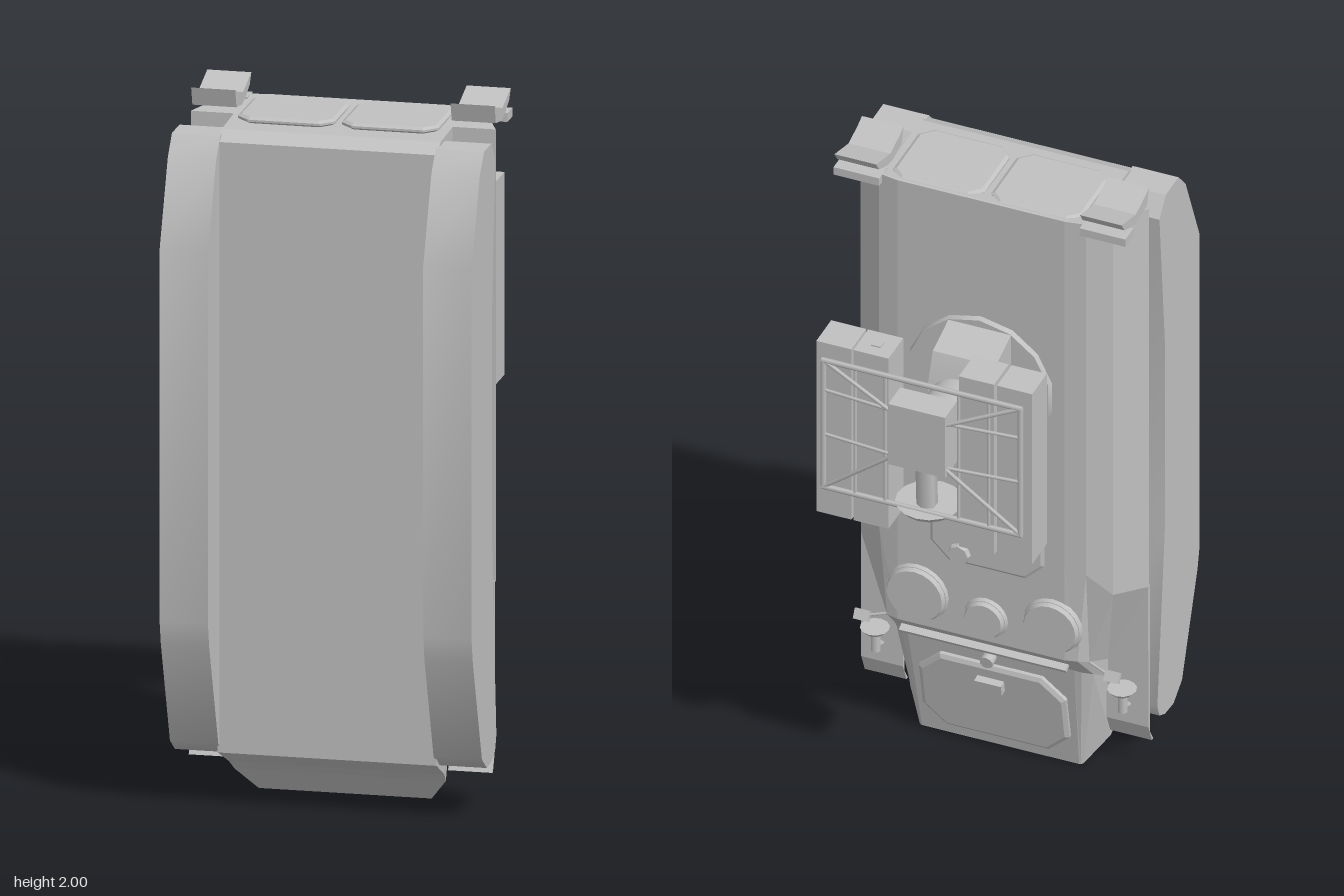
import * as THREE from 'three';
import { toCreasedNormals } from 'three/addons/utils/BufferGeometryUtils.js';

export function createModel() {
  const root = new THREE.Group();
  const paint = new THREE.MeshStandardMaterial({ color: 0xc0c0c0, side: THREE.DoubleSide });
  paint.name = 'plain grey';

  const add = (name, geo, x = 0, y = 0, z = 0, parent = root) => {
    const m = new THREE.Mesh(geo, paint);
    m.name = name;
    m.position.set(x, y, z);
    parent.add(m);
    return m;
  };
  // Box given by its limits
  const box = (name, x0, x1, y0, y1, z0, z1) =>
    add(name, new THREE.BoxGeometry(x1 - x0, y1 - y0, z1 - z0), (x0 + x1) / 2, (y0 + y1) / 2, (z0 + z1) / 2);
  const shapeOf = pts => new THREE.Shape(pts.map(p => new THREE.Vector2(p[0], p[1])));
  // Side profile of [z, y] points, extruded across x between x0 and x1
  const sideProfile = (name, pts, x0, x1, crease = 0.3) => {
    const g = new THREE.ExtrudeGeometry(shapeOf(pts), { depth: x1 - x0, bevelEnabled: false });
    g.translate(0, 0, -(x1 - x0) / 2).rotateY(-Math.PI / 2);
    return add(name, toCreasedNormals(g, crease), (x0 + x1) / 2, 0, 0);
  };
  // Rectangle with cut corners, bevelled towards local +z
  const cutPanel = (w, h, c, depth, bevel) => {
    const a = w / 2 - bevel, b = h / 2 - bevel;
    return new THREE.ExtrudeGeometry(
      shapeOf([[-a + c, -b], [a - c, -b], [a, -b + c], [a, b - c], [a - c, b], [-a + c, b], [-a, b - c], [-a, -b + c]]),
      { depth, bevelEnabled: true, bevelSize: bevel, bevelThickness: bevel * 0.6, bevelSegments: 1 });
  };
  // Disc whose axis runs along z
  const disc = (name, r0, r1, depth, sides, x, y, z) =>
    add(name, toCreasedNormals(new THREE.CylinderGeometry(r0, r1, depth, sides).rotateX(-Math.PI / 2), 0.6), x, y, z);
  const rod = (name, a, b, r) => {
    const p = new THREE.Vector3(...a), q = new THREE.Vector3(...b);
    const m = add(name, new THREE.CylinderGeometry(r, r, p.distanceTo(q), 6));
    m.position.copy(p).add(q).multiplyScalar(0.5);
    m.quaternion.setFromUnitVectors(new THREE.Vector3(0, 1, 0), q.sub(p).normalize());
  };

  // Hull: half cross-sections from deck edge, over the sponson, to the belly; rear to nose
  const stations = [
    [[0.25, 1.945, -0.018], [0.31, 1.945, -0.008], [0.377, 1.94, 0.025], [0.432, 1.93, 0.15], [0.31, 1.93, 0.15], [0.31, 1.925, 0.295]],
    [[0.25, 1.9, -0.018], [0.31, 1.9, -0.008], [0.377, 1.9, 0.025], [0.432, 1.9, 0.15], [0.31, 1.9, 0.15], [0.31, 1.9, 0.345]],
    [[0.25, 0.78, -0.018], [0.31, 0.75, -0.008], [0.377, 0.68, 0.025], [0.432, 0.64, 0.15], [0.31, 0.62, 0.15], [0.31, 0.6, 0.345]],
    [[0.25, 0.45, -0.018], [0.285, 0.45, -0.01], [0.3, 0.42, 0.04], [0.31, 0.36, 0.15], [0.308, 0.36, 0.16], [0.31, 0.36, 0.345]],
    [[0.25, 0.37, 0.05], [0.27, 0.365, 0.055], [0.295, 0.35, 0.08], [0.31, 0.3, 0.15], [0.308, 0.3, 0.16], [0.31, 0.3, 0.345]],
    [[0.235, 0, 0.12], [0.24, 0, 0.122], [0.245, 0, 0.127], [0.3, 0.07, 0.19], [0.305, 0.1, 0.23], [0.31, 0.155, 0.345]],
  ];
  const rings = stations.map(s => [...s, ...s.slice().reverse().map(([x, y, z]) => [-x, y, z])]);
  const pos = [];
  const quad = (a, b, c, d) => pos.push(...a, ...b, ...c, ...b, ...d, ...c);
  const n = rings[0].length;
  for (let s = 0; s < rings.length - 1; s++)
    for (let i = 0; i < n; i++) {
      const j = (i + 1) % n;
      quad(rings[s][i], rings[s][j], rings[s + 1][i], rings[s + 1][j]);
    }
  const rear = rings[0], nose = rings[rings.length - 1];
  for (let i = 0; i < n / 2 - 1; i++) {
    quad(rear[i], rear[n - 1 - i], rear[i + 1], rear[n - 2 - i]);
    quad(nose[i], nose[i + 1], nose[n - 1 - i], nose[n - 2 - i]);
  }
  const hull = new THREE.BufferGeometry();
  hull.setAttribute('position', new THREE.Float32BufferAttribute(pos, 3));
  hull.computeVertexNormals();
  add('hull', hull);

  // Tracks, fender flaps and rear brackets on both sides
  const trackOutline = [[0.335, 1.915], [0.245, 1.915], [0.2, 1.86], [0.24, 1.4], [0.24, 0.8], [0.185, 0.21], [0.2, 0.17],
    [0.24, 0.15], [0.3, 0.145], [0.36, 0.185], [0.47, 0.49], [0.485, 0.56], [0.485, 1.62], [0.385, 1.86]];
  const hook = [[0.155, 1.998], [0.125, 1.985], [0.06, 1.968], [-0.04, 1.998], [-0.02, 1.968], [0.03, 1.945], [0.07, 1.935], [0.14, 1.945]];
  for (const s of [1, -1]) {
    const span = (a, b) => (s > 0 ? [a, b] : [-b, -a]);
    sideProfile('track', trackOutline, ...span(0.305, 0.442), 0.7);
    sideProfile('rearFenderHook', hook, ...span(0.305, 0.43));
    box('rearFenderBracket', ...span(0.3, 0.437), 1.92, 1.945, -0.03, 0.03);
    sideProfile('frontFender', [[0.16, 0.14], [0.185, 0.1], [0.175, 0.1], [0.15, 0.16], [0.148, 0.64], [0.16, 0.64]], ...span(0.305, 0.43));

    // Rear doors
    const door = add('rearDoor', cutPanel(0.275, 0.25, 0.03, 0.006, 0.01), s * 0.147, 1.935, 0.12);
    door.rotation.x = -Math.PI / 2;

    // Headlamps and mirrors
    add('headlamp', new THREE.CylinderGeometry(0.042, 0.03, 0.014, 12), s * 0.37, 0.3, 0.105);
    add('headlampPost', new THREE.CylinderGeometry(0.014, 0.014, 0.07, 8), s * 0.37, 0.26, 0.11);
    rod('headlampBracket', [s * 0.37, 0.24, 0.11], [s * 0.37, 0.22, 0.155], 0.01);
    rod('mirrorArm', [s * 0.28, 0.42, 0.05], [s * 0.36, 0.4, 0.03], 0.004);
    const mirror = add('mirror', new THREE.BoxGeometry(0.045, 0.03, 0.012), s * 0.375, 0.4, 0.025);
    mirror.rotation.x = 0.5;
  }

  // Nose plate with its panel, block and splash board
  const tilt = new THREE.Group();
  tilt.name = 'nosePlate';
  tilt.position.set(0, 0.19, 0.083);
  tilt.rotation.set(-0.187, Math.PI, 0);
  root.add(tilt);
  add('nosePanel', cutPanel(0.44, 0.28, 0.06, 0.01, 0.012), 0, -0.01, 0, tilt);
  add('noseBlock', new THREE.BoxGeometry(0.08, 0.035, 0.03), 0, 0.07, 0.025, tilt);
  add('noseKnob', new THREE.CylinderGeometry(0.02, 0.02, 0.03, 10).rotateX(Math.PI / 2), 0, 0.165, 0.02, tilt);
  const board = add('splashBoard', new THREE.BoxGeometry(0.5, 0.012, 0.05), 0, 0.415, 0.015);
  board.rotation.x = -0.5;

  // Crew hatches and the long deck hatch
  for (const [x, y, r] of [[0.19, 0.56, 0.09], [-0.015, 0.53, 0.062], [-0.215, 0.56, 0.085]]) {
    disc('hatchRim', r, r + 0.004, 0.014, 20, x, y, -0.023);
    disc('hatchLid', r - 0.008, r - 0.002, 0.012, 20, x, y, -0.036);
  }
  const deckHatch = add('deckHatch', cutPanel(0.34, 0.41, 0.05, 0.006, 0.008), -0.02, 0.905, -0.016);
  deckHatch.rotation.y = Math.PI;
  disc('deckKnob', 0.03, 0.035, 0.025, 8, 0.06, 0.735, -0.03);

  // Turret ring, pedestal and side drum
  disc('turretRing', 0.212, 0.218, 0.016, 14, 0, 1.335, -0.024);
  sideProfile('pedestal', [[-0.02, 1.53], [-0.04, 1.52], [-0.14, 1.49], [-0.175, 1.4], [-0.175, 1.28],
    [-0.15, 1.22], [-0.06, 1.15], [-0.02, 1.15]], -0.095, 0.093, 0.9);
  box('sideDrum', 0.09, 0.13, 1.195, 1.25, -0.16, -0.06);
  const strut = box('pedestalStrut', -0.05, 0.05, 1.18, 1.21, -0.2, -0.05);
  strut.rotation.x = 0.75;

  // Arm reaching to the launcher head
  const arm = add('arm', toCreasedNormals(new THREE.CylinderGeometry(0.08, 0.08, 0.25, 20).rotateX(Math.PI / 2), 0.6), 0, 1.385, -0.285);
  arm.scale.y = 0.58;
  sideProfile('armGusset', [[-0.21, 1.35], [-0.25, 1.305], [-0.29, 1.285], [-0.315, 1.285], [-0.315, 1.35]], -0.04, 0.04);

  // Four launch boxes with shallow pointed lower ends
  for (const x of [-0.272, -0.158, 0.158, 0.269]) {
    box('launchBox', x - 0.0525, x + 0.0525, 1.07, 1.65, -0.425, -0.32);
    add('launchBoxEnd', new THREE.CylinderGeometry(0.07, 0.035, 0.018, 4).rotateY(Math.PI / 4), x, 1.061, -0.372);
  }
  box('rearLatch', 0.145, 0.173, 1.648, 1.654, -0.388, -0.36);

  // Lattice frame, head box and sensor dish
  const fz = -0.437;
  for (const y of [1.17, 1.6]) rod('frameRail', [-0.3, y, fz], [0.3, y, fz], 0.008);
  for (const s of [1, -1]) {
    for (const x of [0.295, 0.2, 0.11]) rod('frameUpright', [s * x, 1.17, fz], [s * x, 1.6, fz], x > 0.25 ? 0.008 : 0.005);
    for (const [y0, y1] of [[1.17, 1.35], [1.6, 1.5]]) rod('frameBrace', [s * 0.295, y0, fz], [s * 0.08, y1, -0.462], 0.006);
    for (const y of [1.35, 1.5]) rod('frameCrossbar', [s * 0.295, y, fz], [s * 0.08, y, -0.455], 0.005);
  }
  box('headBox', -0.085, 0.085, 1.33, 1.535, -0.475, -0.39);
  add('sensorDish', toCreasedNormals(new THREE.CylinderGeometry(0.095, 0.08, 0.018, 16), 0.6), 0, 1.162, -0.385);
  rod('dishPost', [0, 1.165, -0.4], [0, 1.36, -0.41], 0.03);

  return root;
}
